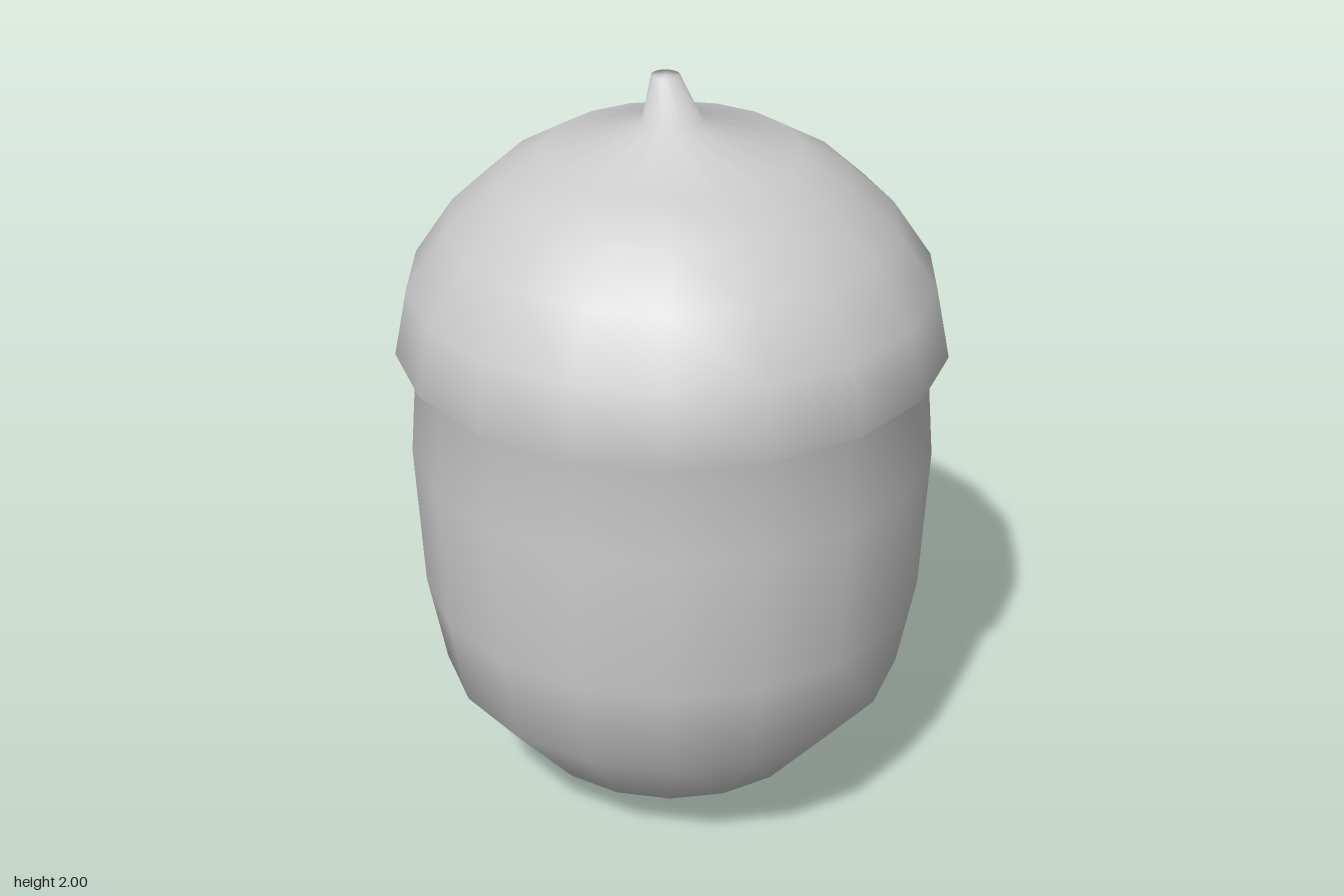
import * as THREE from 'three';

const SIDES = 18;
// [radius, height] from the foot up to the tip of the stem
const PROFILE = [
  [0, 0], [0.07, 0], [0.18, 0.04], [0.41, 0.17], [0.61, 0.41], [0.655, 0.66], [0.672, 1.05], [0.65, 1.31],
  [0.70, 1.325], [0.664, 1.5], [0.562, 1.65], [0.44, 1.76], [0.32, 1.83],
  [0.075, 1.9], [0.035, 2], [0, 2],
].map(([r, y]) => new THREE.Vector2(r, y));

const STEM_BASE = 1.9;
const STEM_LEAN = 0.5; // backward shift per unit of height

export function createModel() {
  const group = new THREE.Group();
  const material = new THREE.MeshStandardMaterial({ color: 0xcccccc });
  const wholeNormals = new THREE.LatheGeometry(PROFILE, SIDES).attributes.normal;

  // Turns one stretch of the profile, with shading continuous into its neighbours
  function addPart(name, from, to) {
    const rows = to - from + 1;
    const geometry = new THREE.LatheGeometry(PROFILE.slice(from, to + 1), SIDES);
    const { position, normal } = geometry.attributes;
    const n = new THREE.Vector3();
    for (let i = 0; i < position.count; i++) {
      const column = Math.floor(i / rows);
      n.fromBufferAttribute(wholeNormals, column * PROFILE.length + from + (i % rows));
      // Lean the stem towards the back
      const rise = position.getY(i) - STEM_BASE;
      if (rise > 0.001) {
        position.setZ(i, position.getZ(i) - STEM_LEAN * rise);
        n.y += STEM_LEAN * n.z;
        n.normalize();
      }
      normal.setXYZ(i, n.x, n.y, n.z);
    }
    const mesh = new THREE.Mesh(geometry, material);
    mesh.name = name;
    group.add(mesh);
  }

  addPart('nut', 0, 7);
  addPart('cap', 7, 13);
  addPart('stem', 13, 15);

  group.name = 'acorn';
  return group;
}
